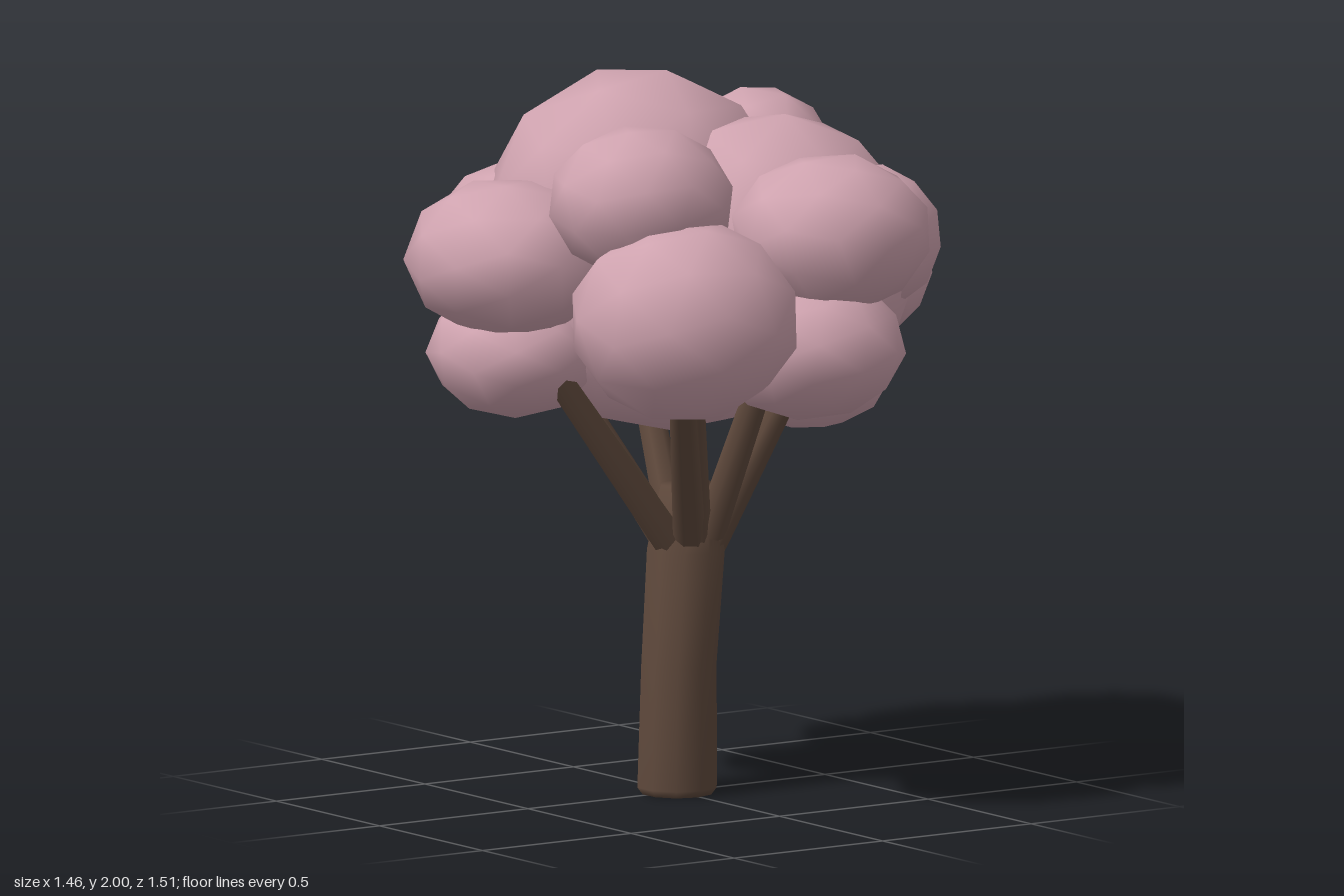
import * as THREE from 'three';

export function createModel() {
  const tree = new THREE.Group();
  tree.name = 'tree';
  const blossom = new THREE.MeshStandardMaterial({ color: 0xcfa3af });
  blossom.name = 'dusty pink';
  const bark = new THREE.MeshStandardMaterial({ color: 0x5f493c });
  bark.name = 'brown bark';

  // Tapered limb between two points
  function limb(name, a, b, r0, r1, sides) {
    const from = new THREE.Vector3(...a), to = new THREE.Vector3(...b);
    const dir = to.clone().sub(from);
    const mesh = new THREE.Mesh(new THREE.CylinderGeometry(r1, r0, dir.length(), sides), bark);
    mesh.position.copy(from).addScaledVector(dir, 0.5);
    mesh.quaternion.setFromUnitVectors(new THREE.Vector3(0, 1, 0), dir.normalize());
    mesh.name = name;
    tree.add(mesh);
  }

  // Trunk: rings stacked along a slight lean, closed at both ends
  const rings = [
    [-0.008, 0, 0.015, 0.1], [-0.008, 0.02, 0.015, 0.115], [0, 0.36, 0.012, 0.109],
    [0.03, 0.68, 0.003, 0.113], [0.04, 0.86, 0, 0.08],
  ];
  const sides = 10, pos = [], idx = [];
  for (const [x, y, z, r] of rings)
    for (let i = 0; i < sides; i++) {
      const t = (i / sides) * Math.PI * 2;
      pos.push(x + r * Math.sin(t), y, z + r * Math.cos(t));
    }
  for (let k = 0; k < rings.length - 1; k++)
    for (let i = 0; i < sides; i++) {
      const a = k * sides + i, b = k * sides + (i + 1) % sides;
      idx.push(a, b, b + sides, a, b + sides, a + sides);
    }
  const top = (rings.length - 1) * sides;
  for (let i = 1; i < sides - 1; i++) idx.push(0, i + 1, i, top, top + i, top + i + 1);
  const trunkGeo = new THREE.BufferGeometry();
  trunkGeo.setAttribute('position', new THREE.Float32BufferAttribute(pos, 3));
  trunkGeo.setIndex(idx);
  trunkGeo.computeVertexNormals();
  const trunk = new THREE.Mesh(trunkGeo, bark);
  trunk.name = 'trunk';
  tree.add(trunk);

  // Branches fanning out into the crown
  const branches = [
    [[-0.03, 0.7, 0.02], [-0.4, 1.2, 0.0]],
    [[0.0, 0.72, 0.06], [-0.24, 1.2, 0.37]],
    [[0.02, 0.72, 0.06], [-0.12, 1.2, 0.24]],
    [[0.06, 0.73, 0.07], [0.12, 1.2, 0.25]],
    [[0.08, 0.7, 0.05], [0.28, 1.15, 0.16]],
    [[0.09, 0.66, -0.02], [0.42, 1.13, -0.05]],
    [[0.08, 0.7, -0.06], [0.25, 1.12, -0.31]],
    [[0.04, 0.68, -0.06], [0.1, 1.12, -0.31]],
    [[0.0, 0.7, -0.05], [-0.2, 1.18, -0.3]],
    [[0.04, 0.75, 0], [0.03, 1.15, -0.02]],
  ];
  for (const [a, b] of branches) limb('branch', a, b, 0.047, 0.037, 7);

  // Crown: overlapping rounded clumps, [centre, radii]
  const clumps = [
    [[0.06, 1.39, -0.11], [0.45, 0.39, 0.5]],
    [[0.0, 1.6, -0.2], [0.43, 0.4, 0.39]],
    [[0.24, 1.48, 0.13], [0.39, 0.42, 0.39]],
    [[-0.46, 1.52, -0.15], [0.28, 0.22, 0.3]],
    [[-0.3, 1.72, 0.26], [0.26, 0.21, 0.24]],
    [[-0.285, 1.41, 0.45], [0.32, 0.28, 0.31]],
    [[0.2, 1.61, 0.46], [0.28, 0.22, 0.27]],
    [[0.13, 1.3, 0.45], [0.27, 0.2, 0.27]],
    [[0.43, 1.56, 0.33], [0.19, 0.2, 0.19]],
    [[0.49, 1.44, 0.09], [0.24, 0.22, 0.28]],
    [[0.46, 1.16, -0.05], [0.24, 0.19, 0.28]],
    [[0.44, 1.7, -0.24], [0.21, 0.2, 0.22]],
    [[0.38, 1.61, -0.43], [0.25, 0.2, 0.25]],
    [[0.23, 1.33, -0.46], [0.31, 0.22, 0.3]],
    [[-0.19, 1.53, -0.44], [0.26, 0.2, 0.26]],
    [[-0.42, 1.25, -0.19], [0.23, 0.18, 0.25]],
  ];
  clumps.forEach(([c, r], i) => {
    const geo = new THREE.IcosahedronGeometry(1.02, 1);
    geo.rotateY(i * 1.3);
    geo.rotateX(i * 0.7);
    const mesh = new THREE.Mesh(geo, blossom);
    mesh.position.set(...c);
    mesh.scale.set(...r);
    mesh.name = 'blossomClump';
    tree.add(mesh);
  });
  return tree;
}
